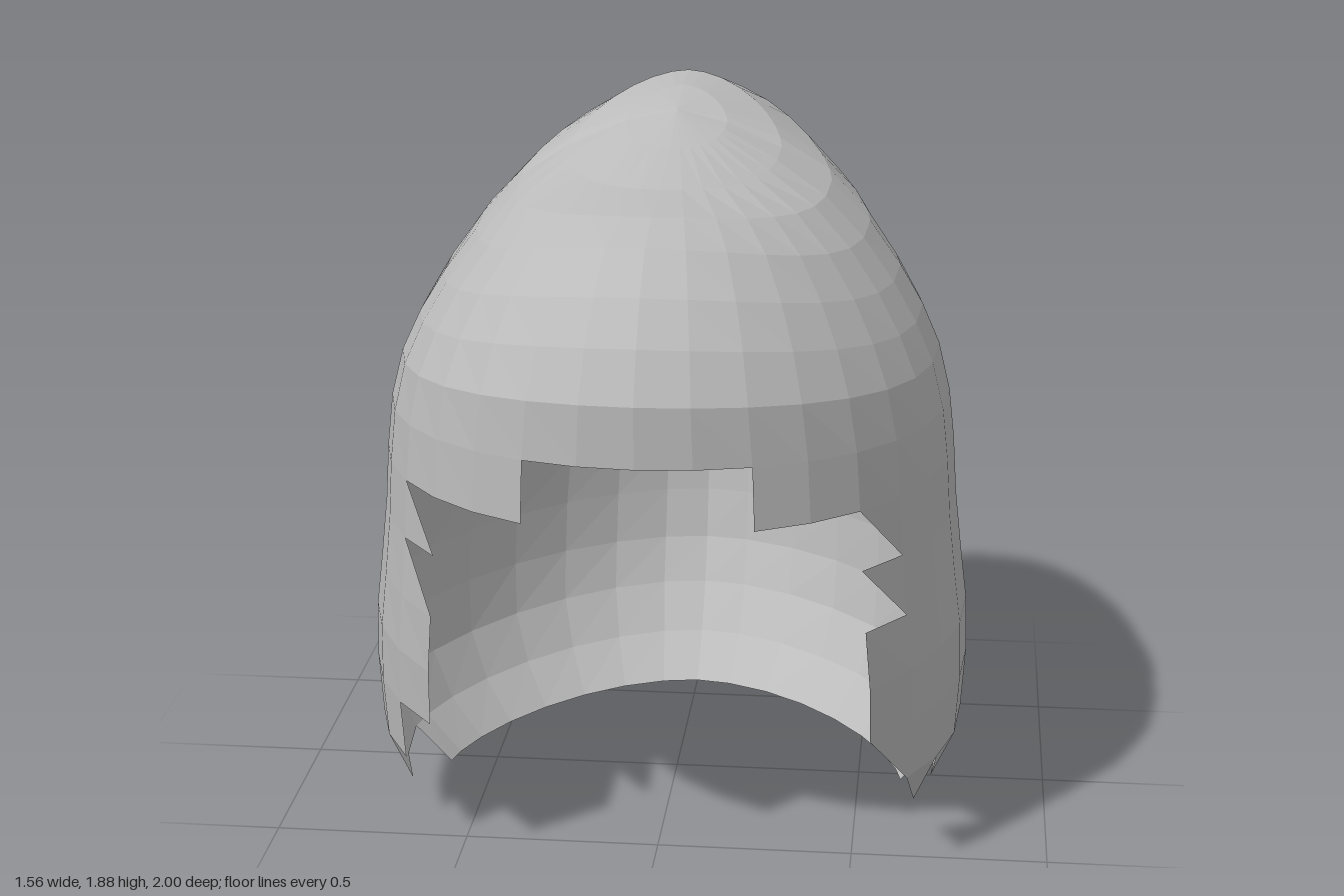
import * as THREE from 'three';

const SEGMENTS = 32;

// Rings from crown to hem: [front z, front y, side x, side y, back z, back y]
const RINGS = [
  [0, 1.83, 0, 1.83, 0, 1.83],
  [0.18, 1.77, 0.13, 1.8, -0.15, 1.865],
  [0.4, 1.71, 0.27, 1.74, -0.31, 1.875],
  [0.6, 1.69, 0.4, 1.66, -0.48, 1.83],
  [0.75, 1.65, 0.5, 1.56, -0.6, 1.75],
  [0.86, 1.56, 0.58, 1.45, -0.73, 1.58],
  [0.94, 1.46, 0.64, 1.35, -0.8, 1.44],
  [1.0, 1.34, 0.685, 1.25, -0.88, 1.27],
  [1.0, 1.19, 0.715, 1.13, -0.97, 1.09],
  [1.0, 1.03, 0.73, 1.0, -1.0, 0.95],
  [0.99, 0.87, 0.74, 0.85, -0.99, 0.78],
  [0.98, 0.7, 0.757, 0.7, -0.975, 0.62],
  [0.96, 0.54, 0.775, 0.56, -0.95, 0.48],
  [0.93, 0.39, 0.78, 0.41, -0.915, 0.34],
  [0.91, 0.25, 0.77, 0.25, -0.85, 0.22],
  [0.86, 0.12, 0.71, 0.12, -0.75, 0.1],
  [0.75, 0.04, 0.615, 0.02, -0.6, 0],
];

// Half-quads kept in each lower band, counted round from the front: [first, end]
const OPENING = {
  8: [4, 60], 9: [9, 55], 10: [9, 55], 11: [8, 56], 12: [8, 56],
  13: [9, 54], 14: [11, 52], 15: [16, 48],
};

// Egg-shaped ring point: rounded at the front, tapered at the back
function ringPoint(i, j) {
  const [zf, yf, xs, ys, zb, yb] = RINGS[i];
  const angle = (j / SEGMENTS) * Math.PI * 2;
  const s = Math.sin(angle), c = Math.cos(angle);
  const front = c >= 0;
  const middle = 0.08 * Math.min(i / 8, 1);
  const x = Math.sign(s) * xs * Math.pow(Math.abs(s), front ? 1.02 : 1.13);
  const z = front
    ? middle + (zf - middle) * Math.pow(c, 0.88)
    : middle + (zb - middle) * Math.pow(-c, 1.38);
  const y = ys + ((yf - yb) / 2) * c + ((yf + yb) / 2 - ys) * c * c;
  return [x, y, z];
}

function isKept(band, half) {
  if (band === 14 && half === 12) return false; // small nick in the left hem
  const range = OPENING[band];
  return !range || (half >= range[0] && half < range[1]);
}

function shellGeometry() {
  const positions = [], indices = [];
  for (let i = 0; i < RINGS.length; i++) {
    for (let j = 0; j < SEGMENTS; j++) positions.push(...ringPoint(i, j));
  }
  for (let i = 0; i < RINGS.length - 1; i++) {
    for (let j = 0; j < SEGMENTS; j++) {
      const next = (j + 1) % SEGMENTS;
      const a = i * SEGMENTS + j, b = i * SEGMENTS + next;
      const d = a + SEGMENTS, c = b + SEGMENTS;
      if (isKept(i, 2 * j)) indices.push(a, d, c);
      if (i > 0 && isKept(i, 2 * j + 1)) indices.push(a, c, b);
    }
  }
  const indexed = new THREE.BufferGeometry();
  indexed.setAttribute('position', new THREE.Float32BufferAttribute(positions, 3));
  indexed.setIndex(indices);
  const geometry = indexed.toNonIndexed();
  geometry.computeVertexNormals();
  return geometry;
}

export function createModel() {
  const grey = new THREE.MeshStandardMaterial({
    color: 0xbbbbbb, flatShading: true, side: THREE.DoubleSide,
  });
  grey.name = 'plain grey';

  // Open-faced shell with a jagged front edge
  const shell = new THREE.Mesh(shellGeometry(), grey);
  shell.name = 'hairShell';

  const model = new THREE.Group();
  model.name = 'hairCap';
  model.add(shell);
  return model;
}
